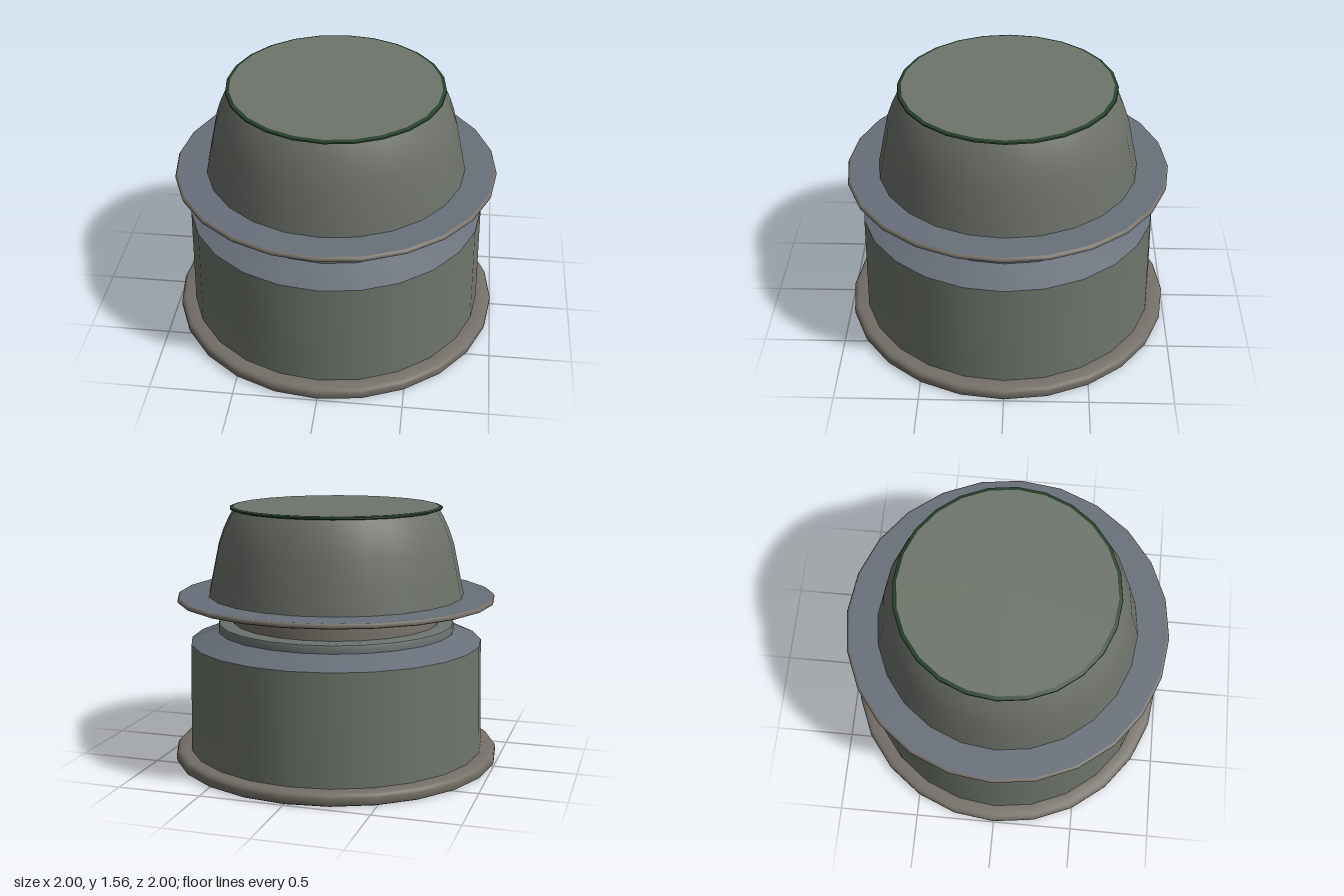
import * as THREE from 'three';
import { toCreasedNormals } from 'three/addons/utils/BufferGeometryUtils.js';

const SIDES = 24;
const paint = (color) => new THREE.MeshStandardMaterial({ color, side: THREE.DoubleSide });
const greyGreen = paint(0x6e756b);
const warmGrey = paint(0x746f67);
const blueGrey = paint(0x68707b);
const crownGrey = paint(0x6b7068);
const stepGrey = paint(0x6b736f);
const darkGreen = paint(0x27412a);

// Spins a [radius, height] profile, listed from bottom to top, about the y axis.
function turned(name, material, profile) {
  const points = profile.map(([r, y]) => new THREE.Vector2(r, y));
  const geometry = toCreasedNormals(new THREE.LatheGeometry(points, SIDES), Math.PI / 4);
  const mesh = new THREE.Mesh(geometry, material);
  mesh.name = name;
  return mesh;
}

export function createModel() {
  const group = new THREE.Group();
  group.name = 'flangedCap';
  group.add(
    // Rounded rim around the open bottom
    turned('baseRim', warmGrey, [
      [0.91, 0.03], [0.92, 0.008], [0.94, 0], [0.98, 0], [0.995, 0.008], [1, 0.025],
      [1, 0.05], [0.993, 0.065], [0.975, 0.075], [0.908, 0.075],
    ]),
    // Slightly tapered hollow skirt
    turned('skirt', greyGreen, [[0.91, 0.03], [0.908, 0.075], [0.893, 0.735]]),
    // Sloping shoulder and the small step above it
    turned('shoulder', blueGrey, [[0.893, 0.735], [0.725, 0.8]]),
    turned('step', stepGrey, [
      [0.725, 0.8], [0.725, 0.835], [0.72, 0.847], [0.705, 0.853], [0.632, 0.853],
    ]),
    // Narrow neck under the flange
    turned('neck', warmGrey, [[0.632, 0.853], [0.622, 0.953]]),
    // Thin flange: conical underside with rounded edge, then the flat top
    turned('flangeUnderside', warmGrey, [
      [0.622, 0.953], [0.8, 0.988], [0.955, 0.99], [0.967, 0.995], [0.97, 1.006],
      [0.965, 1.017], [0.955, 1.021],
    ]),
    turned('flangeTop', blueGrey, [[0.955, 1.021], [0.78, 1.022]]),
    // Domed crown wall
    turned('crown', crownGrey, [
      [0.78, 1.022], [0.748, 1.175], [0.715, 1.33], [0.685, 1.415], [0.65, 1.49], [0.622, 1.536],
    ]),
    // Thin projecting lip and flat top
    turned('topLip', darkGreen, [[0.622, 1.536], [0.645, 1.543], [0.643, 1.551], [0.622, 1.557]]),
    turned('topDisc', greyGreen, [[0.622, 1.557], [0, 1.557]]),
  );
  return group;
}
